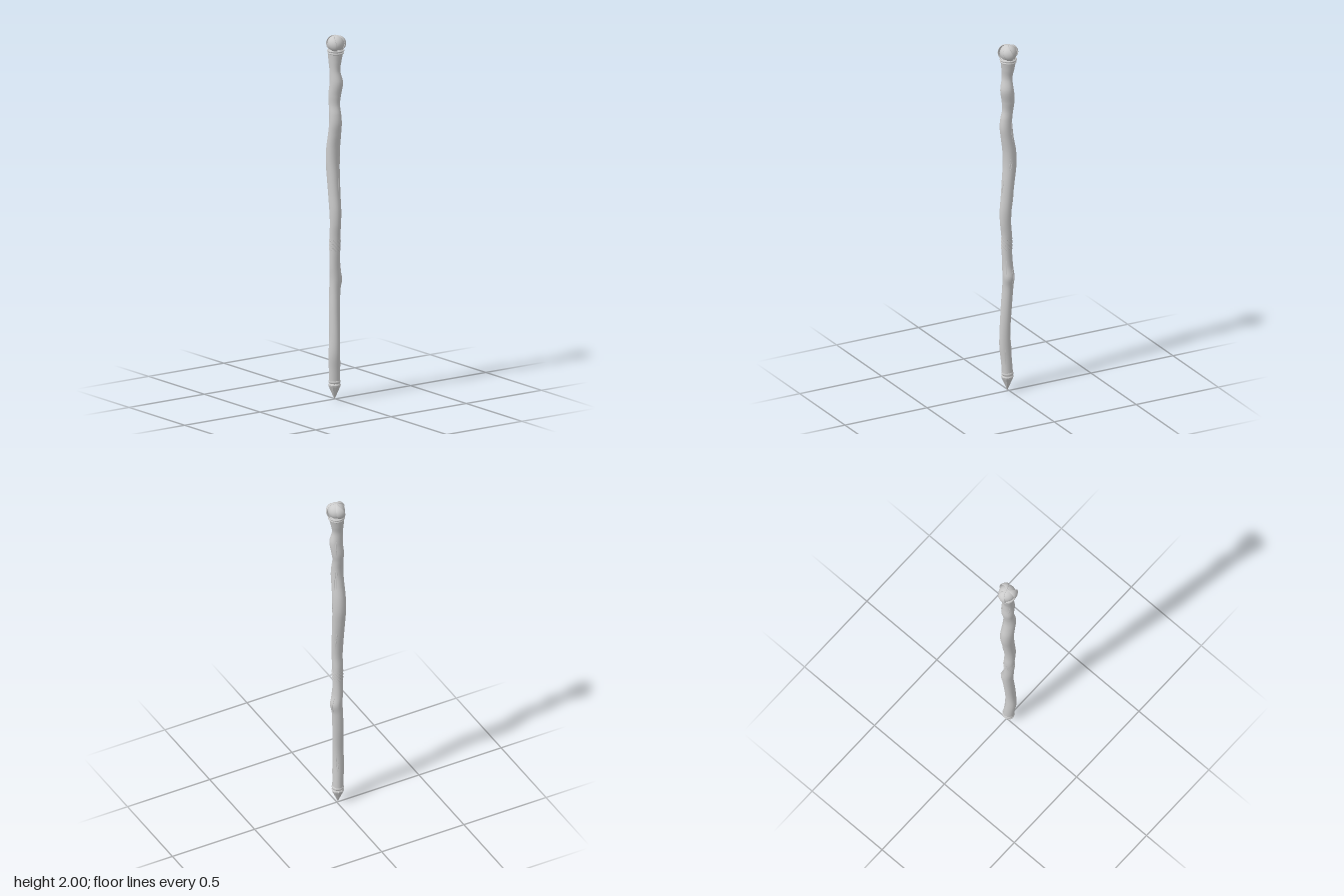
import * as THREE from 'three';
import { ParametricGeometry } from 'three/addons/geometries/ParametricGeometry.js';

const material = new THREE.MeshStandardMaterial({ color: 0xcccccc, side: THREE.DoubleSide });

// Shaft stations: height, centre x, centre z, radius
const stations = [
  [0.095, 0.005, 0.009, 0.030], [0.17, 0.009, 0.013, 0.030], [0.25, 0.015, 0.017, 0.031],
  [0.35, 0.016, 0.015, 0.029], [0.5, 0.008, 0.011, 0.030], [0.6, 0.003, 0.006, 0.030],
  [0.66, 0.003, 0.003, 0.031], [0.73, 0.005, 0.008, 0.029], [0.8, 0.008, 0.010, 0.028],
  [0.9, 0.010, 0.010, 0.029], [0.97, 0.016, 0.010, 0.030], [1.04, 0.015, 0.010, 0.032],
  [1.13, 0.006, 0.010, 0.033], [1.21, -0.002, 0.010, 0.035], [1.3, -0.010, 0.010, 0.037],
  [1.38, -0.007, 0.010, 0.037], [1.46, 0.006, 0.010, 0.035], [1.52, 0.014, 0.010, 0.034],
  [1.57, 0.012, 0.010, 0.032], [1.62, 0.004, 0.009, 0.030], [1.67, 0.003, 0.006, 0.034],
  [1.74, 0.012, 0.001, 0.036], [1.81, 0.007, 0.007, 0.029], [1.86, 0.004, 0.004, 0.035],
  [1.915, 0.003, 0.0, 0.043],
];
const spine = new THREE.CatmullRomCurve3(stations.map(([y, x, z]) => new THREE.Vector3(x, y, z)));
const girth = new THREE.CatmullRomCurve3(stations.map(([y, , , r]) => new THREE.Vector3(r, y, 0)));

// Point on the bark at angle a (0 = front, towards +x) and spine parameter t
function barkPoint(a, t, lift = 0) {
  const p = spine.getPoint(t);
  const knot = 0.007 * Math.exp(-(((p.y - 0.66) / 0.035) ** 2)) * Math.max(0, -Math.cos(a));
  const r = girth.getPoint(t).x + 0.0009 * Math.sin(3 * a + 9 * p.y) + knot + lift;
  return p.add(new THREE.Vector3(Math.sin(a) * r, 0, Math.cos(a) * r));
}

// Spine parameter at a given height
function atHeight(y) {
  let i = 0;
  while (i < stations.length - 2 && stations[i + 1][0] < y) i++;
  return (i + (y - stations[i][0]) / (stations[i + 1][0] - stations[i][0])) / (stations.length - 1);
}

function add(parent, name, geometry, x = 0, y = 0, z = 0) {
  const mesh = new THREE.Mesh(geometry, material);
  mesh.name = name;
  mesh.position.set(x, y, z);
  parent.add(mesh);
  return mesh;
}

function lathe(profile, sides) {
  return new THREE.LatheGeometry(profile.map(([r, y]) => new THREE.Vector2(r, y)), sides);
}

// Curved claw gripping the orb: flattened crescent section, tapering to the crown
function clawGeometry(azimuth) {
  const widths = new THREE.CatmullRomCurve3(
    [0.016, 0.023, 0.029, 0.027, 0.018, 0.009, 0.003].map((w, i) => new THREE.Vector3(w, i, 0)));
  return new ParametricGeometry((u, v, target) => {
    const elevation = THREE.MathUtils.lerp(-0.85, 1.5, v);
    const a = azimuth + 0.45 * (0.4 - v);
    const theta = u * Math.PI * 2;
    const side = -Math.cos(theta);
    const radius = 0.047 + 0.007 * Math.sin(Math.PI * Math.min(1, v * 1.15)) - 0.001 * v;
    const n = new THREE.Vector3(
      Math.sin(a) * Math.cos(elevation), Math.sin(elevation), Math.cos(a) * Math.cos(elevation));
    const across = new THREE.Vector3(Math.cos(a), 0, -Math.sin(a));
    const thickness = 0.004 * (1 - 0.6 * v) * Math.sin(theta);
    // One edge flares away from the orb
    const flare = 0.004 * side * (1 - v);
    target.copy(n).multiplyScalar(radius).addScaledVector(across, side * widths.getPoint(v).x)
      .normalize().multiplyScalar(radius + thickness + flare);
  }, 16, 18);
}

export function createModel() {
  const staff = new THREE.Group();
  staff.name = 'staff';

  // Crooked wooden shaft
  add(staff, 'shaft', new ParametricGeometry(
    (u, v, target) => target.copy(barkPoint(u * Math.PI * 2, v)), 20, 120));

  // Raised grain slivers in the bark: height, angle, length
  const grain = new THREE.Group();
  grain.name = 'barkGrain';
  staff.add(grain);
  const slivers = [
    [0.2, 2.6, 0.12], [0.28, 3.9, 0.12], [0.25, 4.2, 0.09], [0.66, 3.5, 0.14], [0.72, 2.5, 0.1],
    [1.1, 4.0, 0.14], [1.18, 1.7, 0.1], [1.32, 2.7, 0.09], [1.3, 2.9, 0.06], [1.48, 3.7, 0.12],
    [1.5, 4.1, 0.13], [1.53, 3.9, 0.08], [1.72, 4.2, 0.12], [1.76, 5.6, 0.1],
  ];
  for (const [y, a, length] of slivers) {
    const points = [];
    for (let i = 0; i <= 6; i++) {
      const k = i / 6;
      // Ends sink into the wood
      points.push(barkPoint(a + 0.25 * (k - 0.5), atHeight(y + (k - 0.5) * length),
        0.003 * Math.sin(Math.PI * k) - 0.0035));
    }
    add(grain, 'grainSliver', new THREE.TubeGeometry(new THREE.CatmullRomCurve3(points), 12, 0.0025, 6));
  }

  // Slanted cord wrapping the grip
  const wrap = new THREE.Group();
  wrap.name = 'gripWrap';
  staff.add(wrap);
  const strands = 9;
  for (let s = 0; s < strands; s++) {
    const points = [];
    for (let i = 0; i <= 8; i++) {
      const k = i / 8;
      points.push(barkPoint(s / strands * Math.PI * 2 + k * 2, atHeight(0.88 - 0.06 * k), 0.0005));
    }
    add(wrap, 'cordStrand', new THREE.TubeGeometry(new THREE.CatmullRomCurve3(points), 16, 0.003, 6));
  }

  // Foot: ferrule ring and pointed spike
  const foot = new THREE.Group();
  foot.name = 'foot';
  foot.position.set(0.005, 0, 0.009);
  staff.add(foot);
  add(foot, 'ferrule', lathe([[0, 0.088], [0.027, 0.088], [0.032, 0.093], [0.033, 0.099],
    [0.031, 0.105], [0.028, 0.108]], 20));
  const spike = lathe([[0, 0], [0.032, 0.073], [0.034, 0.081], [0.029, 0.09], [0, 0.09]], 10)
    .toNonIndexed();
  spike.computeVertexNormals();
  add(foot, 'spike', spike);

  // Head: collar rings, orb and three claws
  const head = new THREE.Group();
  head.name = 'head';
  head.position.set(0.004, 0, 0);
  staff.add(head);
  for (const [y, r] of [[1.903, 0.040], [1.916, 0.042]]) {
    add(head, 'collarRing', new THREE.TorusGeometry(r, 0.005, 8, 24).rotateX(Math.PI / 2), 0, y, 0);
  }
  add(head, 'collarCap', new THREE.CylinderGeometry(0.036, 0.043, 0.012, 24), 0, 1.92, 0);
  add(head, 'orb', new THREE.SphereGeometry(0.046, 24, 16), 0, 1.953, 0);
  for (let i = 0; i < 3; i++) {
    add(head, 'claw', clawGeometry(-Math.PI / 2 + i * Math.PI * 2 / 3), 0, 1.953, 0);
  }
  return staff;
}
